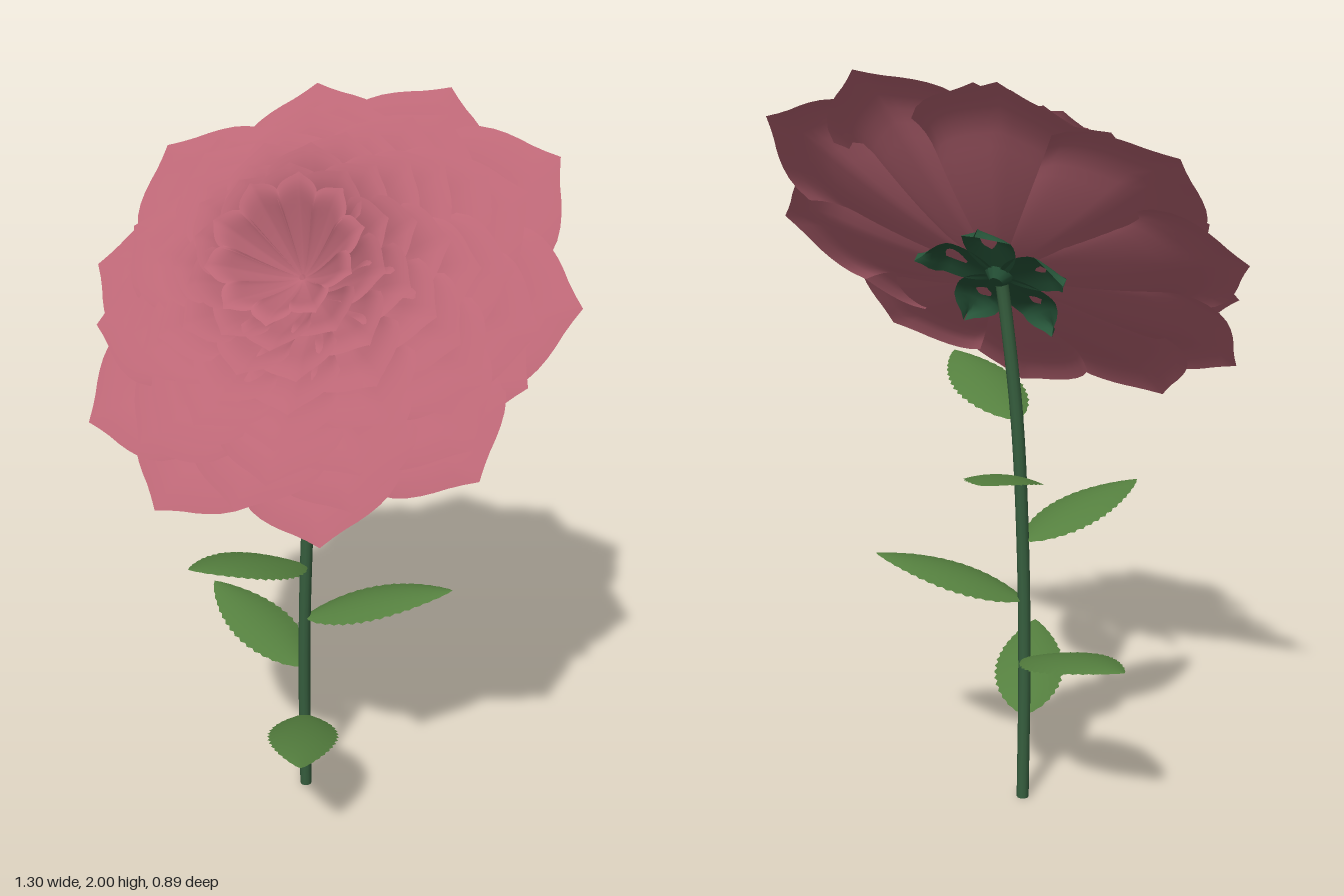
import * as THREE from 'three';
import { mergeGeometries } from 'three/addons/utils/BufferGeometryUtils.js';

const material = (name, color) =>
  new THREE.MeshStandardMaterial({ name, color, side: THREE.DoubleSide });

// small seeded random in the range -1..1
function seeded(seed) {
  return () => {
    seed = (seed * 16807) % 2147483647;
    return (seed / 2147483647) * 2 - 1;
  };
}

// sheet whose points follow f(t, s): t runs 0..1 along, s runs -1..1 across
function sheet(f, along, across) {
  const g = new THREE.PlaneGeometry(2, 1, across, along);
  const p = g.attributes.position;
  for (let i = 0; i < p.count; i++) p.setXYZ(i, ...f(p.getY(i) + 0.5, p.getX(i)));
  g.computeVertexNormals();
  return g;
}

// one petal: a fan-shaped cup with a pointed, rolled-back rim
function petal({ angle, half, R, H, base, power, tilt, cup, lip }) {
  return sheet((t, s) => {
    const a = Math.abs(s);
    const edge = 1 - 0.13 * a - 0.06 * a ** 6 + 0.025 * Math.exp(-((a / 0.12) ** 2)) * t ** 8;
    const r = 0.008 + (R * edge - 0.008) * t;
    const roll = Math.max(0, (t - 0.76) / 0.24) ** 2;
    const h = base + (H + lip - base) * t ** power
      + (cup * s * s + tilt * s - 0.008 * a ** 4) * t - lip * roll;
    const th = angle + s * half;
    return [r * Math.cos(th), h, -r * Math.sin(th)];
  }, 16, 16);
}

// serrated leaf along +x, arching up with drooping sides
function leafGeometry(length, rise, width) {
  const rows = 32;
  return sheet((t, s) => {
    const tooth = Math.round(t * rows) % 2 ? 1.05 : 0.97;
    const w = width * Math.sin(Math.PI * t ** 0.85) ** 0.8 * (t > 0.01 && t < 0.99 ? tooth : 0);
    const y = rise * (1.85 * t - 0.85 * t * t) - 0.2 * s * s * w;
    return [length * t, y, s * w];
  }, rows, 8);
}

// sepal along +x, spreading flat with a hooked tip
function sepalGeometry() {
  return sheet((t, s) => {
    const w = 0.022 + 0.048 * Math.sin(Math.PI * Math.min(1, t * 0.95)) ** 0.8;
    const width = w * (t > 0.8 ? Math.max(0.05, (1 - t) / 0.2) : 1);
    const y = 0.028 * t - 0.045 * Math.max(0, (t - 0.65) / 0.35) - 0.025 * s * s * t;
    return [0.015 + 0.2 * t, y, s * width];
  }, 12, 6);
}

export function createModel() {
  const model = new THREE.Group();
  const pink = material('petal pink', 0xbb6675);
  const leafGreen = material('leaf green', 0x55803f);
  const stemGreen = material('stem green', 0x365e3e);
  const sepalGreen = material('sepal green', 0x27563a);
  const add = (parent, name, geometry, mat) => {
    const mesh = new THREE.Mesh(geometry, mat);
    mesh.name = name;
    parent.add(mesh);
    return mesh;
  };

  // stem, bending slightly on its way up
  const path = new THREE.CatmullRomCurve3([
    [-0.073, 0, -0.042], [-0.068, 0.4, -0.027], [-0.057, 0.75, -0.02],
    [-0.04, 1.1, -0.024], [-0.01, 1.4, -0.036], [0, 1.5, -0.045],
  ].map((p) => new THREE.Vector3(...p)));
  add(model, 'stem', new THREE.TubeGeometry(path, 30, 0.017, 10), stemGreen);
  const foot = add(model, 'stemEnd', new THREE.CircleGeometry(0.017, 10), stemGreen);
  foot.rotation.x = Math.PI / 2;
  foot.position.set(-0.073, 0.001, -0.042);

  // leaves spiral up the stem by the golden angle, the upper ones a little shorter
  for (let i = 0; i < 6; i++) {
    const y = 0.25 + i * 0.169;
    const at = path.getPoint(0);
    for (let u = 0; u <= 1 && at.y < y; u += 0.002) path.getPoint(u, at);
    const m = add(model, `leaf${i + 1}`, leafGeometry(i < 3 ? 0.412 : 0.38, 0.108, 0.096), leafGreen);
    m.position.set(at.x, y, at.z);
    m.rotation.y = -THREE.MathUtils.degToRad(62 + 137.5 * i);
  }

  // flower head, tipped forward and a little to its left
  const head = new THREE.Group();
  head.name = 'flowerHead';
  head.position.set(0, 1.53, 0);
  head.rotation.set(0.82, 0, -0.07);
  model.add(head);

  // petal rings from the outside in: tip radius, tip height, petal count
  const rnd = seeded(77);
  const outerAngles = [11, 47, 78, 111, 149, 182, 222, 250, 290, 327, 350];
  const outerRadii = [0.645, 0.68, 0.65, 0.64, 0.67, 0.635, 0.655, 0.65, 0.63, 0.63, 0.58];
  const rings = [
    [0.65, 0.0, 11], [0.575, 0.04, 11], [0.505, 0.085, 11], [0.435, 0.135, 11],
    [0.37, 0.185, 11], [0.305, 0.235, 11], [0.245, 0.275, 10], [0.195, 0.305, 10],
  ];
  rings.forEach(([R, H, count], k) => {
    const f = k / (rings.length - 1);
    const bud = f === 1;
    const petals = [];
    for (let i = 0; i < count; i++) {
      const regular = (i / count) * 360 + k * 137.5 + (bud ? 0 : rnd() * 4);
      petals.push(petal({
        angle: THREE.MathUtils.degToRad(k ? regular : outerAngles[i]),
        half: (Math.PI / count) * (bud ? 1.08 : 1.5),
        R: k ? R * (1 + 0.02 * rnd()) : outerRadii[i],
        H: H + 0.008 * rnd(),
        base: bud ? 0.15 : -0.07 + 0.17 * f,
        power: 1.7 - 0.5 * f,
        tilt: bud ? 0 : 0.016 - 0.01 * f,
        cup: 0.008 - 0.012 * f,
        lip: 0.042 - 0.022 * f,
      }));
    }
    add(head, bud ? 'budPetals' : `petalRing${k + 1}`, mergeGeometries(petals), pink);
  });

  // calyx: a small cup with five sepals
  const cup = add(head, 'calyxCup', new THREE.CylinderGeometry(0.05, 0.018, 0.035, 12), sepalGreen);
  cup.position.y = -0.08;
  const sepal = sepalGeometry();
  for (let i = 0; i < 5; i++) {
    const m = add(head, `sepal${i + 1}`, sepal, sepalGreen);
    m.position.y = -0.078;
    m.rotation.y = 0.5 + (i / 5) * Math.PI * 2;
  }
  return model;
}
